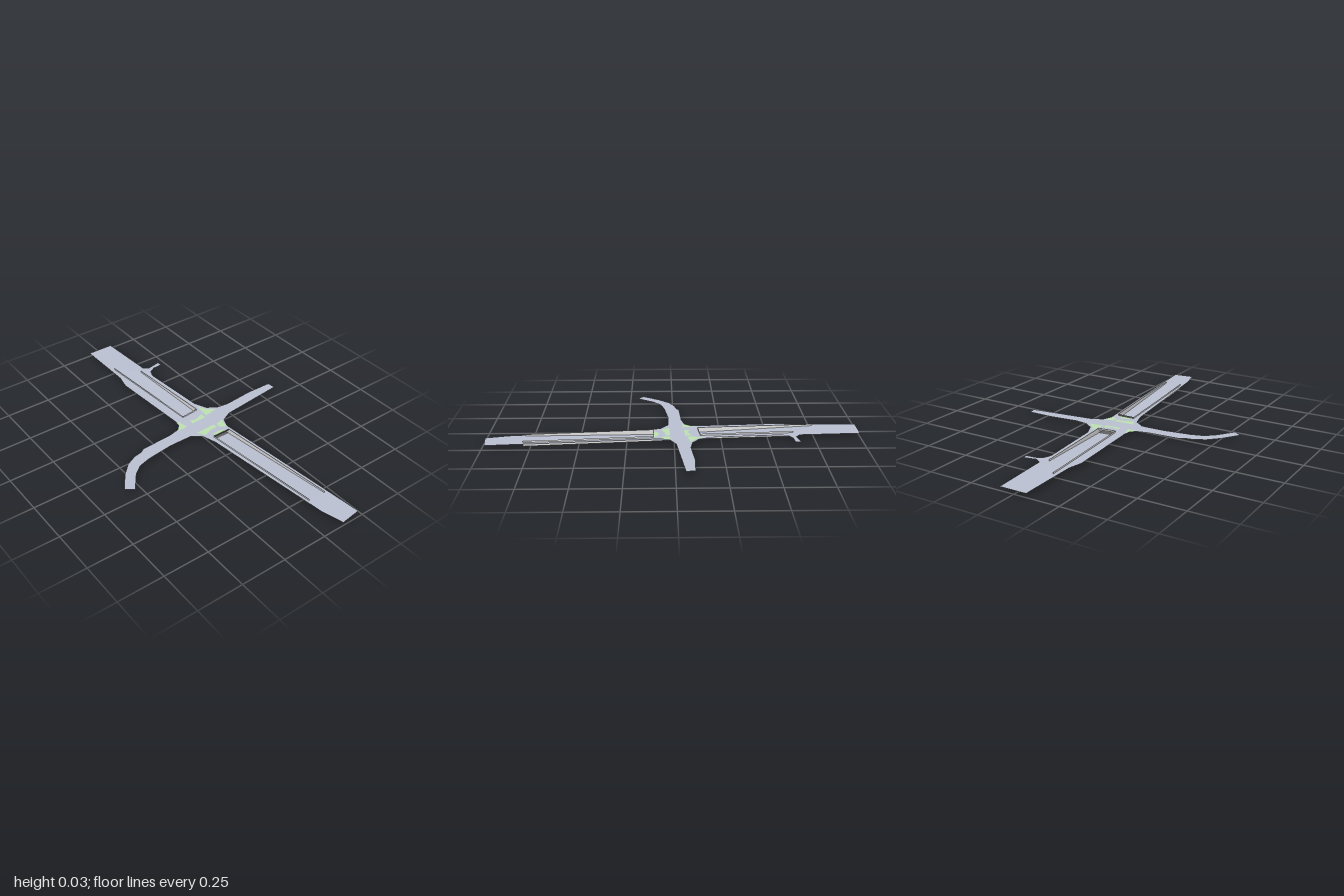
import * as THREE from 'three';

const ROAD_Y = 0.02, WALL_TOP = 0.029;

const flat = (name, hex) => {
  const m = new THREE.MeshStandardMaterial({ color: hex, side: THREE.DoubleSide });
  m.name = name;
  return m;
};

// Horizontal outline given as [x, z] points, with optional holes
function plate(points, y, material, name, holes = []) {
  const toV = p => new THREE.Vector2(p[0], -p[1]);
  const shape = new THREE.Shape(points.map(toV));
  for (const h of holes) shape.holes.push(new THREE.Path(h.map(toV)));
  const mesh = new THREE.Mesh(new THREE.ShapeGeometry(shape).rotateX(-Math.PI / 2), material);
  mesh.position.y = y;
  mesh.name = name;
  return mesh;
}

// Four-cornered surface from [x, y, z] corners
function quad(a, b, c, d, material, name) {
  const g = new THREE.BufferGeometry();
  g.setAttribute('position', new THREE.Float32BufferAttribute([a, b, c, d].flat(), 3));
  g.setIndex([0, 1, 2, 0, 2, 3]);
  g.computeVertexNormals();
  const mesh = new THREE.Mesh(g, material);
  mesh.name = name;
  return mesh;
}

const at = (p, y) => [p[0], y, p[1]];

// Upright sheet between two [x, z] points
const wall = (a, b, y0, y1, material, name) =>
  quad(at(a, y0), at(b, y0), at(b, y1), at(a, y1), material, name);

export function createModel() {
  const asphalt = flat('asphalt', 0xbcc2d3);
  const concrete = flat('concrete', 0xe2e2e2);
  const darkConcrete = flat('darkConcrete', 0x626264);
  const grass = flat('grass', 0xbfe3b1);
  const group = new THREE.Group();
  group.name = 'roadJunction';

  // Outline of the four arms and the small side road
  const outline = [
    [-1, -0.08], [-0.67, -0.1], [-0.65, -0.13], [-0.665, -0.205], [-0.635, -0.205],
    [-0.63, -0.15], [-0.61, -0.115], [-0.57, -0.1], [-0.2, -0.13], [-0.13, -0.16],
    [-0.095, -0.21], [-0.085, -0.28], [-0.1, -0.45], [-0.097, -0.59], [-0.05, -0.597],
    [-0.01, -0.23], [0.02, -0.17], [0.07, -0.15], [0.13, -0.155], [0.6, -0.2],
    [0.985, -0.235], [1, -0.12], [0.88, -0.09], [0.15, -0.01], [0.07, 0.015],
    [0.03, 0.07], [0.03, 0.2], [0.05, 0.35], [0.07, 0.42], [0.11, 0.47],
    [0.205, 0.54], [0.175, 0.585], [0.08, 0.52], [0.02, 0.46], [-0.01, 0.4],
    [-0.02, 0.35], [-0.035, 0.33], [-0.04, 0.25], [-0.045, 0.15], [-0.06, 0.085],
    [-0.09, 0.06], [-0.13, 0.055], [-0.58, 0.085], [-0.66, 0.067], [-1, 0.07],
  ];

  // Each underpass cutting: portal and outer end, back and front
  const cuttings = [
    { side: 'right', portal: concrete, backIn: [-0.14, -0.1], backOut: [-0.64, -0.065], frontIn: [-0.13, 0], frontOut: [-0.76, 0.045] },
    { side: 'left', portal: darkConcrete, backIn: [0.11, -0.13], backOut: [0.79, -0.195], frontIn: [0.11, -0.03], frontOut: [0.79, -0.095] },
  ];

  // Grass traffic islands, set into the road
  const islands = [
    [[-0.165, -0.125], [-0.12, -0.15], [-0.085, -0.195], [-0.07, -0.115], [-0.11, -0.12]],
    [[-0.095, -0.1], [-0.06, -0.1], [-0.055, -0.01], [-0.085, -0.015], [-0.075, -0.05]],
    [[-0.12, 0.045], [-0.05, 0.03], [-0.05, 0.095], [-0.08, 0.06]],
    [[0.012, -0.165], [0.035, -0.15], [0.075, -0.145], [0.055, -0.11], [0.025, -0.115]],
    [[0.02, -0.095], [0.045, -0.1], [0.05, -0.05], [0.07, -0.005], [0.025, 0.02]],
    [[0.08, -0.09], [0.108, -0.13], [0.108, -0.03], [0.085, -0.05]],
  ];
  islands.forEach((p, i) => group.add(plate(p, ROAD_Y, grass, 'grassIsland' + (i + 1))));

  const openings = cuttings.map(c => [c.backIn, c.backOut, c.frontOut, c.frontIn]);
  group.add(plate(outline, ROAD_Y, asphalt, 'road', [...openings, ...islands]));

  // Ramps with retaining walls and a parapet above each portal
  for (const c of cuttings) {
    const ramp = new THREE.Group();
    ramp.name = c.side + 'Ramp';
    ramp.add(
      quad(at(c.backIn, 0.001), at(c.backOut, ROAD_Y), at(c.frontOut, ROAD_Y), at(c.frontIn, 0.001), asphalt, 'rampSurface'),
      wall(c.backIn, c.backOut, 0, WALL_TOP, concrete, 'backRetainingWall'),
      wall(c.frontIn, c.frontOut, 0, WALL_TOP, concrete, 'frontRetainingWall'),
      wall(c.backIn, c.frontIn, ROAD_Y, WALL_TOP, c.portal, 'portalParapet'),
    );
    group.add(ramp);
  }

  // Tunnel beneath the crossing
  const [r, l] = cuttings;
  group.add(
    quad(at(r.backIn, 0), at(r.frontIn, 0), at(l.frontIn, 0), at(l.backIn, 0), darkConcrete, 'tunnelFloor'),
    wall(r.frontIn, l.frontIn, 0, ROAD_Y, asphalt, 'tunnelFrontWall'),
    wall(l.backIn, r.backIn, 0, ROAD_Y, asphalt, 'tunnelBackWall'),
  );

  return group;
}
